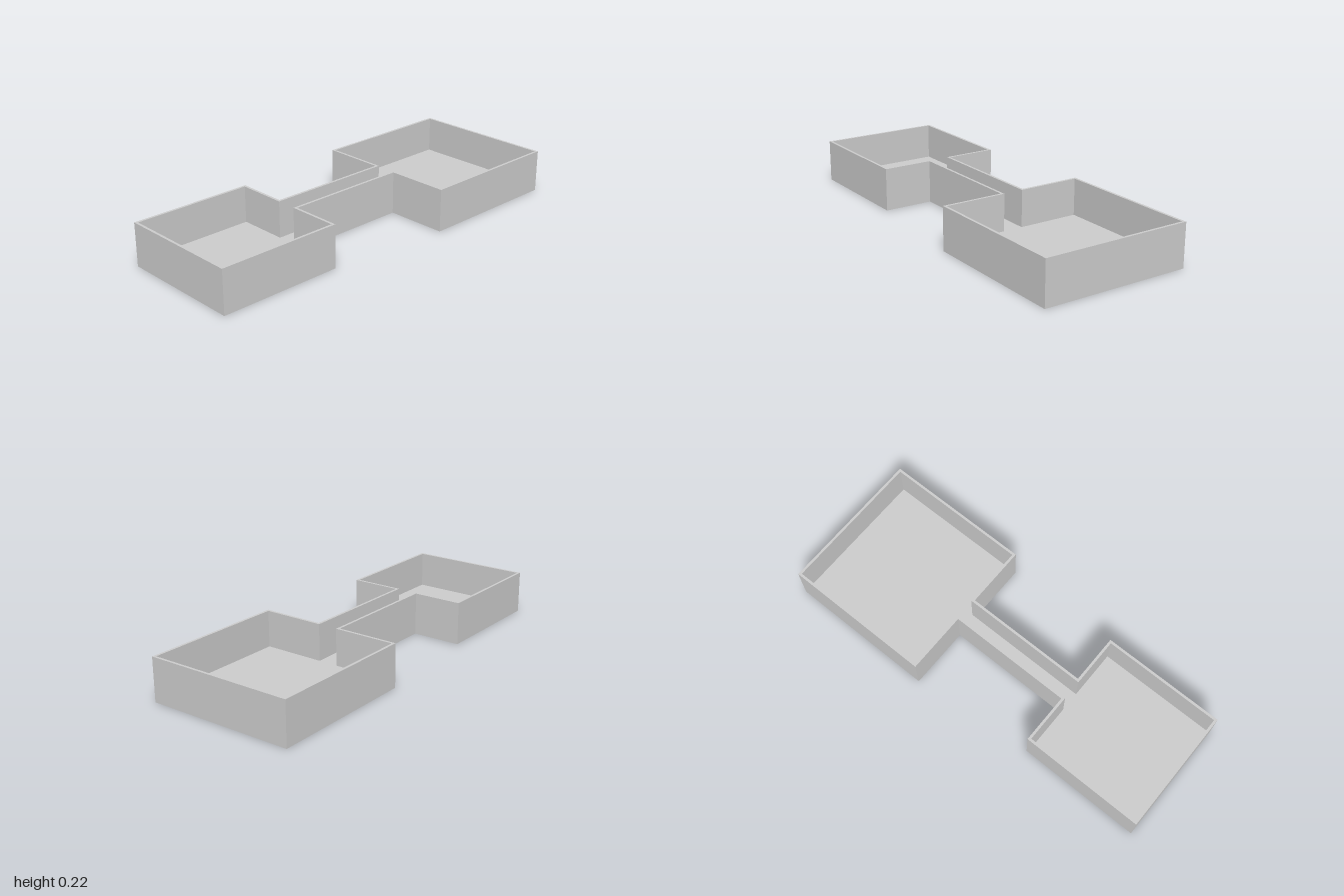
import * as THREE from 'three';

const HEIGHT = 0.215, FLOOR = 0.032, WALL = 0.0125;

// Plan of two square rooms joined by a corridor, shrunk inward by d
function outline(d) {
  const half = [
    [-1 + d, 0.313 - d], [-0.378 - d, 0.313 - d],
    [-0.378 - d, 0.0625 - d], [0.249 + d, 0.0625 - d],
    [0.249 + d, 0.374 - d], [1 - d, 0.374 - d],
  ];
  // Mirror the front half to the back
  const back = half.map(([x, z]) => [x, -z]).reverse();
  return [...half, ...back].map(([x, z]) => new THREE.Vector2(x, z));
}

// Extrude a plan upward from the ground
function extrudeUp(name, shape, depth, material) {
  const geometry = new THREE.ExtrudeGeometry(shape, { depth, bevelEnabled: false });
  geometry.rotateX(-Math.PI / 2);
  const mesh = new THREE.Mesh(geometry, material);
  mesh.name = name;
  return mesh;
}

export function createModel() {
  const group = new THREE.Group();
  group.name = 'twoRoomsWithCorridor';
  const material = new THREE.MeshStandardMaterial({ color: 0xcccccc, flatShading: true });

  // Floor slab filling the space between the walls
  group.add(extrudeUp('floor', new THREE.Shape(outline(WALL)), FLOOR, material));

  // Continuous wall around the plan, open at the top; the hole winds the other way
  const walls = new THREE.Shape(outline(0));
  walls.holes.push(new THREE.Path(outline(WALL).reverse()));
  group.add(extrudeUp('walls', walls, HEIGHT, material));

  return group;
}
